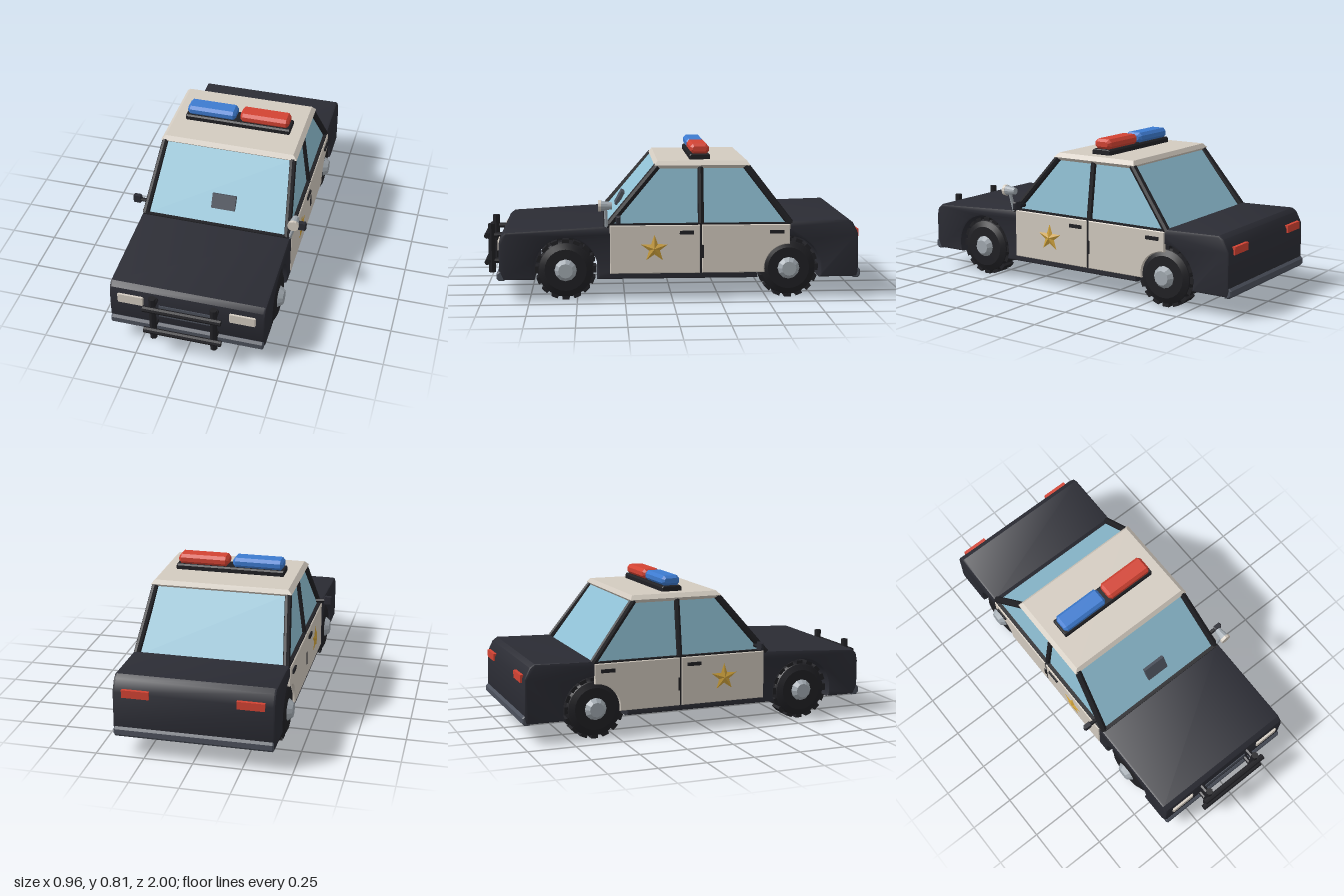
import * as THREE from 'three';
import { toCreasedNormals } from 'three/addons/utils/BufferGeometryUtils.js';

const mat = (name, color) => {
  const m = new THREE.MeshStandardMaterial({ color });
  m.name = name;
  return m;
};

export function createModel() {
  const car = new THREE.Group();
  car.name = 'patrolCar';
  const black = mat('black paint', 0x2b2c34);
  const rubber = mat('rubber', 0x202024);
  const cream = mat('cream paint', 0xd3cbc0);
  const glass = mat('window glass', 0x8fc0d4);
  const grey = mat('dark grey metal', 0x4c515c);
  const chrome = mat('chrome', 0xa3abb2);
  const gold = mat('gold', 0xcfa23c);
  const red = mat('red lamp', 0xd34333);
  const blue = mat('blue lamp', 0x3d7bd0);

  const add = (name, geo, material, x = 0, y = 0, z = 0) => {
    const m = new THREE.Mesh(geo, material);
    m.name = name;
    m.position.set(x, y, z);
    car.add(m);
    return m;
  };
  const box = (name, material, w, h, d, x, y, z) =>
    add(name, new THREE.BoxGeometry(w, h, d), material, x, y, z);
  // Side profile in (z, y) extruded across x and centred
  const prism = (shape, width, bevel = 0, segments = 1) => {
    const g = new THREE.ExtrudeGeometry(shape, {
      depth: width - 2 * bevel, bevelEnabled: bevel > 0, bevelSize: bevel,
      bevelThickness: bevel, bevelOffset: -bevel, bevelSegments: segments, curveSegments: 20,
    });
    g.translate(0, 0, -(width / 2 - bevel));
    return g.rotateY(-Math.PI / 2);
  };
  const poly = (pts) => new THREE.Shape(pts.map(([a, b]) => new THREE.Vector2(a, b)));
  // Box with different rectangles [y, halfWidth, zFront, zBack] at bottom and top
  const taper = (lo, hi) => {
    const g = new THREE.BoxGeometry(2, 2, 2).toNonIndexed();
    const p = g.attributes.position;
    for (let i = 0; i < p.count; i++) {
      const [y, w, f, b] = p.getY(i) > 0 ? hi : lo;
      p.setXYZ(i, p.getX(i) * w, y, p.getZ(i) > 0 ? f : b);
    }
    g.computeVertexNormals();
    return g;
  };
  // Straight round bar between two points
  const rod = (name, a, b, r, material, sides = 8, r2 = r) => {
    const A = new THREE.Vector3(...a), B = new THREE.Vector3(...b);
    const d = B.clone().sub(A);
    const geo = toCreasedNormals(new THREE.CylinderGeometry(r2, r, d.length(), sides), 0.5);
    const m = add(name, geo, material);
    m.position.copy(A).add(B).multiplyScalar(0.5);
    m.quaternion.setFromUnitVectors(new THREE.Vector3(0, 1, 0), d.normalize());
    return m;
  };

  // Lower body with wheel arches running right across
  const axleZ = [0.56, -0.615], axleY = 0.16, archR = 0.17;
  const a = Math.asin(0.05 / archR);
  const s = new THREE.Shape();
  s.moveTo(-0.98, 0.11);
  for (const z of [axleZ[1], axleZ[0]]) {
    s.lineTo(z - archR * Math.cos(a), 0.11);
    s.absarc(z, axleY, archR, Math.PI + a, -a, true);
  }
  [[0.885, 0.11], [0.907, 0.16], [0.907, 0.3], [0.898, 0.34], [0.872, 0.363], [0.36, 0.392],
    [-0.61, 0.392], [-0.63, 0.41], [-0.93, 0.418], [-0.955, 0.4], [-0.985, 0.34], [-0.988, 0.14]]
    .forEach(([z, y]) => s.lineTo(z, y));
  add('body', toCreasedNormals(prism(s, 0.82, 0.012, 2), 0.6), black);

  // Cabin glass and roof
  add('cabinGlass', taper([0.385, 0.393, 0.345, -0.622], [0.7, 0.35, 0.085, -0.395]), glass);
  add('roofUnderside', taper([0.687, 0.355, 0.078, -0.395], [0.705, 0.375, 0.093, -0.41]), cream);
  add('roof', taper([0.705, 0.375, 0.093, -0.41], [0.727, 0.353, 0.075, -0.395]), cream);
  box('windscreenSill', rubber, 0.8, 0.016, 0.02, 0, 0.39, 0.35);
  const panel = box('windscreenPanel', grey, 0.13, 0.08, 0.02, 0.025, 0.492, 0.27);
  panel.rotation.x = -0.5;

  // Parts mirrored on both sides
  for (const k of [1, -1]) {
    rod('frontPillar', [k * 0.393, 0.385, 0.345], [k * 0.353, 0.7, 0.078], 0.019, rubber);
    rod('centrePillar', [k * 0.396, 0.385, -0.15], [k * 0.352, 0.7, -0.15], 0.016, rubber);
    rod('rearPillar', [k * 0.393, 0.395, -0.625], [k * 0.353, 0.7, -0.39], 0.019, rubber);
    box('beltTrim', rubber, 0.02, 0.012, 0.96, k * 0.4, 0.398, -0.14);

    // Doors, the rear one cut around the wheel
    const front = poly([[-0.145, 0.14], [0.328, 0.14], [0.328, 0.396], [-0.145, 0.396]]);
    const rear = new THREE.Shape();
    rear.moveTo(-0.155, 0.14).lineTo(-0.155, 0.396).lineTo(-0.62, 0.396);
    rear.lineTo(-0.62, axleY + 0.13);
    rear.absarc(axleZ[1], axleY, 0.13, Math.PI / 2, -0.154, true);
    add('frontDoor', prism(front, 0.02, 0.004), cream, k * 0.406);
    add('rearDoor', prism(rear, 0.02, 0.004), cream, k * 0.406);
    box('doorGap', rubber, 0.012, 0.25, 0.009, k * 0.407, 0.268, -0.15);
    box('hinge', rubber, 0.012, 0.07, 0.013, k * 0.413, 0.255, -0.158);
    for (const z of [-0.075, -0.55]) box('doorHandle', rubber, 0.014, 0.018, 0.075, k * 0.418, 0.357, z);

    // Raised star badge
    const ring = Array.from({ length: 10 }, (_, i) => {
      const r = i % 2 ? 0.03 : 0.075, t = Math.PI / 2 + i * Math.PI / 5;
      return [0, r * Math.sin(t), -k * r * Math.cos(t)];
    });
    const tris = ring.flatMap((p, i) => [k * 0.012, 0, 0, ...p, ...ring[(i + 1) % 10]]);
    const star = new THREE.BufferGeometry();
    star.setAttribute('position', new THREE.Float32BufferAttribute(tris, 3));
    star.computeVertexNormals();
    add('starBadge', star, gold, k * 0.418, 0.272, 0.095);

    // Wing mirror
    rod('mirrorArm', [k * 0.39, 0.425, 0.285], [k * 0.45, 0.43, 0.285], 0.011, rubber, 6);
    const head = poly([[-0.012, -0.022], [0.012, -0.022], [0.012, 0.022], [-0.012, 0.022]]);
    add('mirror', prism(head, 0.048, 0.007), black, k * 0.457, 0.432, 0.285);

    // Head and tail lamps
    const lamp = poly([[-0.012, -0.026], [0.012, -0.026], [0.012, 0.026], [-0.012, 0.026]]);
    add('headlamp', prism(lamp, 0.14, 0.006), cream, k * 0.295, 0.286, 0.904);
    box('tailLamp', red, 0.14, 0.04, 0.02, k * 0.29, 0.338, -0.984);

    // Wheels with tread blocks and hubcaps
    const tyre = new THREE.LatheGeometry([[0, -0.06], [0.11, -0.06], [0.14, -0.045], [0.148, -0.03],
      [0.148, 0.03], [0.14, 0.045], [0.11, 0.06], [0, 0.06]].map((p) => new THREE.Vector2(...p)), 24);
    const hub = new THREE.CylinderGeometry(0.038, 0.06, 0.028, 12).toNonIndexed();
    hub.computeVertexNormals();
    for (const z of axleZ) {
      add('tyre', toCreasedNormals(tyre, 0.4), rubber, k * 0.345, axleY, z).rotation.z = -k * Math.PI / 2;
      add('hubcap', hub, chrome, k * 0.417, axleY, z).rotation.z = -k * Math.PI / 2;
      for (let i = 0; i < 16; i++) {
        const t = (i / 16) * Math.PI * 2;
        box('treadBlock', rubber, 0.08, 0.03, 0.036, k * 0.345,
          axleY + 0.145 * Math.cos(t), z + 0.145 * Math.sin(t)).rotation.x = t;
      }
    }

    // Push bar uprights and mounts
    rod('pushBarUpright', [k * 0.16, 0.107, 0.962], [k * 0.16, 0.372, 0.962], 0.019, rubber);
    for (const y of [0.17, 0.31]) rod('pushBarMount', [k * 0.16, y, 0.89], [k * 0.16, y, 0.96], 0.014, rubber);
  }

  // Push bar rails, grille and bumpers
  for (const y of [0.168, 0.312]) rod('pushBarRail', [-0.204, y, 0.984], [0.204, y, 0.984], 0.016, rubber);
  box('grille', grey, 0.29, 0.072, 0.01, 0, 0.241, 0.906);
  const bumper = poly([[-0.02, 0.105], [0.008, 0.105], [0.02, 0.118], [0.02, 0.145], [0.008, 0.157], [-0.02, 0.157]]);
  add('frontBumper', prism(bumper, 0.81, 0.006), grey, 0, 0, 0.9);
  add('rearBumper', prism(bumper, 0.81, 0.006), grey, 0, 0, -0.98).rotation.y = Math.PI;

  // Roof light bar
  const base = poly([[-0.055, 0.726], [0.055, 0.726], [0.055, 0.748], [0.047, 0.756], [-0.047, 0.756], [-0.055, 0.748]]);
  add('lightBarBase', prism(base, 0.585, 0.004), rubber, 0, 0, -0.152);
  const dome = poly([[-0.035, 0.754], [0.035, 0.754], [0.05, 0.77], [0.05, 0.792],
    [0.035, 0.808], [-0.035, 0.808], [-0.05, 0.792], [-0.05, 0.77]]);
  add('blueLight', prism(dome, 0.27, 0.014), blue, -0.149, 0, -0.152);
  add('redLight', prism(dome, 0.27, 0.014), red, 0.147, 0, -0.152);

  // Spotlight on the left pillar
  rod('spotlightStem', [0.405, 0.39, 0.345], [0.432, 0.49, 0.35], 0.009, chrome);
  rod('spotlightHousing', [0.428, 0.503, 0.315], [0.428, 0.503, 0.375], 0.018, chrome, 12, 0.028);
  rod('spotlightLens', [0.428, 0.503, 0.372], [0.428, 0.503, 0.388], 0.03, cream, 12);

  return car;
}
